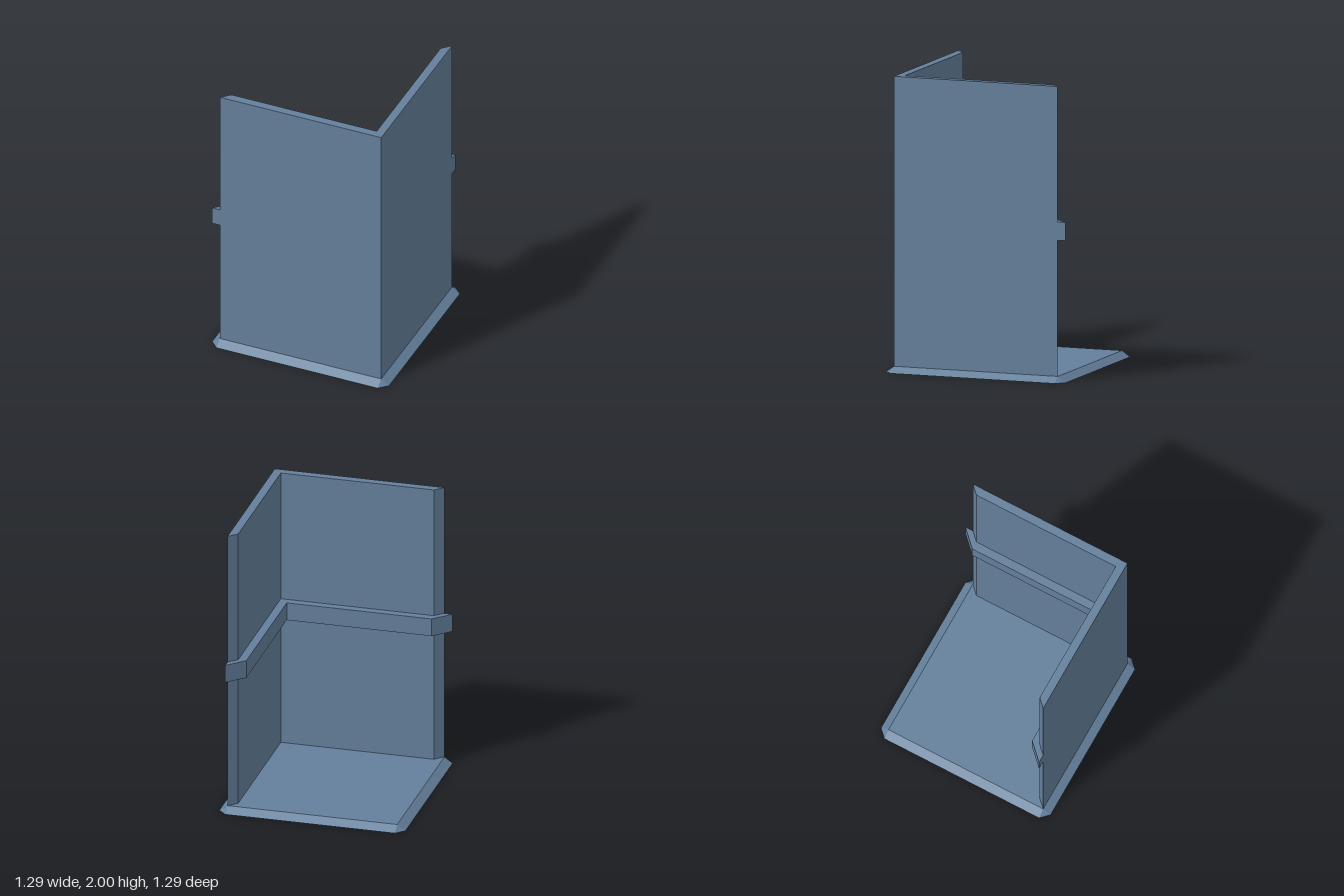
import * as THREE from 'three';
import { ConvexGeometry } from 'three/addons/geometries/ConvexGeometry.js';

const OUT = 0.588;   // outer face of the walls
const EDGE = 0.645;  // foot of the floor bevel, reach of the rail
const IN = 0.53;     // inner face of the walls
const RAIL = 0.473;  // inner face of the rail
const FLOOR = 0.04;
const HEIGHT = 2;

export function createModel() {
  const group = new THREE.Group();
  const material = new THREE.MeshStandardMaterial({ color: 0x64809c, flatShading: true });

  const add = (name, geometry) => {
    const mesh = new THREE.Mesh(geometry, material);
    mesh.name = name;
    group.add(mesh);
  };

  // Upright prism over a plan outline given as [x, z] points
  const prism = (plan, y0, y1) => {
    const shape = new THREE.Shape(plan.map(([x, z]) => new THREE.Vector2(x, -z)));
    return new THREE.ExtrudeGeometry(shape, { depth: y1 - y0, bevelEnabled: false })
      .rotateX(-Math.PI / 2)
      .translate(0, y0, 0);
  };

  // Floor slab: square top, wider foot with clipped corners
  const corners = [];
  for (const sx of [-1, 1]) {
    for (const sz of [-1, 1]) {
      corners.push(
        new THREE.Vector3(sx * OUT, FLOOR, sz * OUT),
        new THREE.Vector3(sx * EDGE, 0, sz * OUT),
        new THREE.Vector3(sx * OUT, 0, sz * EDGE)
      );
    }
  }
  add('floor', new ConvexGeometry(corners));

  // Two joined walls with mitred free ends
  add('walls', prism([
    [-OUT, OUT], [OUT, OUT], [OUT, -OUT],
    [IN, -IN], [IN, IN], [-IN, IN],
  ], FLOOR, HEIGHT));

  // Rail along the inside, wrapping round both wall ends
  add('rail', prism([
    [-EDGE, OUT], [-OUT, OUT], [-IN, IN], [IN, IN], [IN, -IN], [OUT, -OUT],
    [OUT, -EDGE], [RAIL, -IN], [RAIL, RAIL], [-IN, RAIL],
  ], 0.96, 1.085));

  return group;
}
